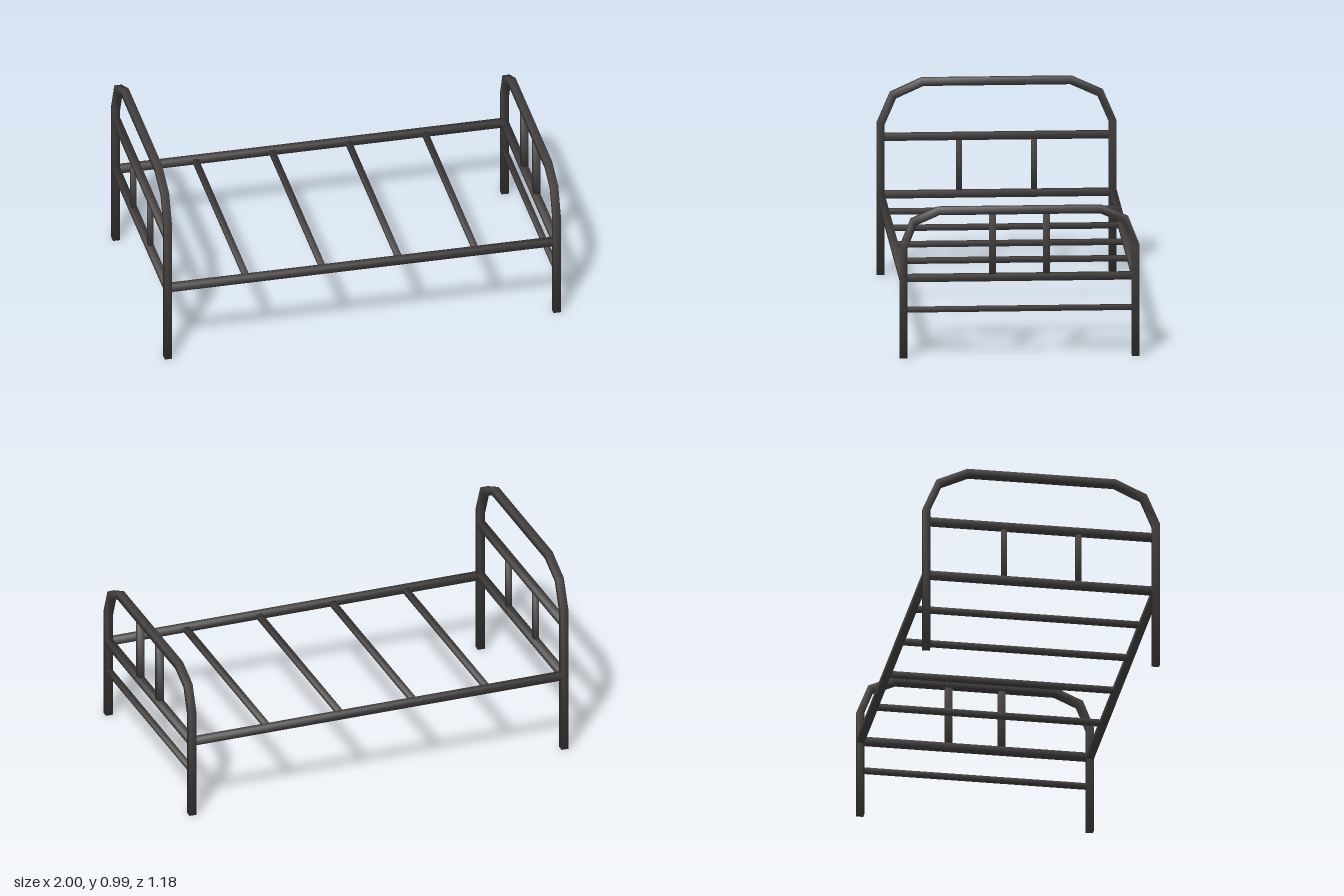
import * as THREE from 'three';

// Cross-section corners of the square bars
const CORNERS = [[-1, -1], [1, -1], [1, 1], [-1, 1]];

// Square bar swept along a path lying in the plane square to "side", with mitred bends,
// closed ends and normals that blend softly round every corner
function sweepBar(path, side, half) {
  const last = path.length - 1;
  const positions = [], normals = [];
  const index = [0, 2, 1, 0, 3, 2];
  path.forEach((p, i) => {
    const before = Math.max(i - 1, 0), next = Math.min(i, last - 1);
    const into = path[before + 1].clone().sub(path[before]).normalize();
    const out = path[next + 1].clone().sub(path[next]).normalize();
    const along = into.clone().add(out).normalize();
    const across = along.clone().cross(side);
    const stretch = half / along.dot(into);
    const endTilt = i === 0 ? -1 : i === last ? 1 : 0;
    CORNERS.forEach(([s, n], k) => {
      const point = p.clone().addScaledVector(side, s * half).addScaledVector(across, n * stretch);
      const normal = side.clone().multiplyScalar(s).addScaledVector(across, n)
        .addScaledVector(along, endTilt).normalize();
      positions.push(...point);
      normals.push(...normal);
      if (i < last) {
        const a = i * 4 + k, b = i * 4 + (k + 1) % 4;
        index.push(a, b, a + 4, b, b + 4, a + 4);
      }
    });
  });
  const e = last * 4;
  index.push(e, e + 1, e + 2, e, e + 2, e + 3);
  const geometry = new THREE.BufferGeometry();
  geometry.setAttribute('position', new THREE.Float32BufferAttribute(positions, 3));
  geometry.setAttribute('normal', new THREE.Float32BufferAttribute(normals, 3));
  geometry.setIndex(index);
  return geometry;
}

export function createModel() {
  const bed = new THREE.Group();
  bed.name = 'bedFrame';
  const metal = new THREE.MeshStandardMaterial({ color: 0x4a4645 });
  metal.name = 'dark metal';

  const alongX = new THREE.Vector3(1, 0, 0), alongZ = new THREE.Vector3(0, 0, 1);
  const bar = (name, points, half, side = alongX) => {
    const path = points.map((p) => new THREE.Vector3(...p));
    const mesh = new THREE.Mesh(sweepBar(path, side, half), metal);
    mesh.name = name;
    bed.add(mesh);
  };

  // Hoop with legs, mirrored from one half given as [z, y] from the floor up
  const hoop = (name, x, profile, half) => bar(name, [
    ...profile.map(([z, y]) => [x, y, z]),
    ...profile.map(([z, y]) => [x, y, -z]).reverse(),
  ], half);

  const X = 0.9815, Z = 0.573, HALF = 0.0185, RAIL = 0.0175, RAIL_Y = 0.402;

  // Headboard and footboard
  hoop('headboardHoop', -X, [[Z, 0], [Z, 0.757], [0.511, 0.902], [0.366, 0.968]], HALF);
  hoop('footboardHoop', X, [[Z, 0], [Z, 0.555], [0.522, 0.685], [0.4, 0.739]], HALF);

  // Cross rails
  bar('headboardMiddleRail', [[-X, 0.692, -Z], [-X, 0.692, Z]], RAIL);
  bar('footboardLowerRail', [[X, 0.243, -Z], [X, 0.243, Z]], 0.0125);
  for (const x of [-X, X]) bar('endRail', [[x, RAIL_Y, -Z], [x, RAIL_Y, Z]], RAIL);

  // Side rails and upright spindles
  for (const s of [-1, 1]) {
    bar('sideRail', [[-X, RAIL_Y, s * Z], [X, RAIL_Y, s * Z]], RAIL, alongZ);
    bar('headboardSpindle', [[-X, RAIL_Y, s * 0.185], [-X, 0.692, s * 0.185]], 0.0135);
    bar('footboardSpindle', [[X, RAIL_Y, s * 0.133], [X, 0.735, s * 0.133]], 0.017);
  }

  // Slats
  for (let i = 0; i < 4; i++) {
    const x = -0.581 + i * 0.386;
    bar('slat', [[x, RAIL_Y, -Z], [x, RAIL_Y, Z]], 0.0135);
  }
  return bed;
}
